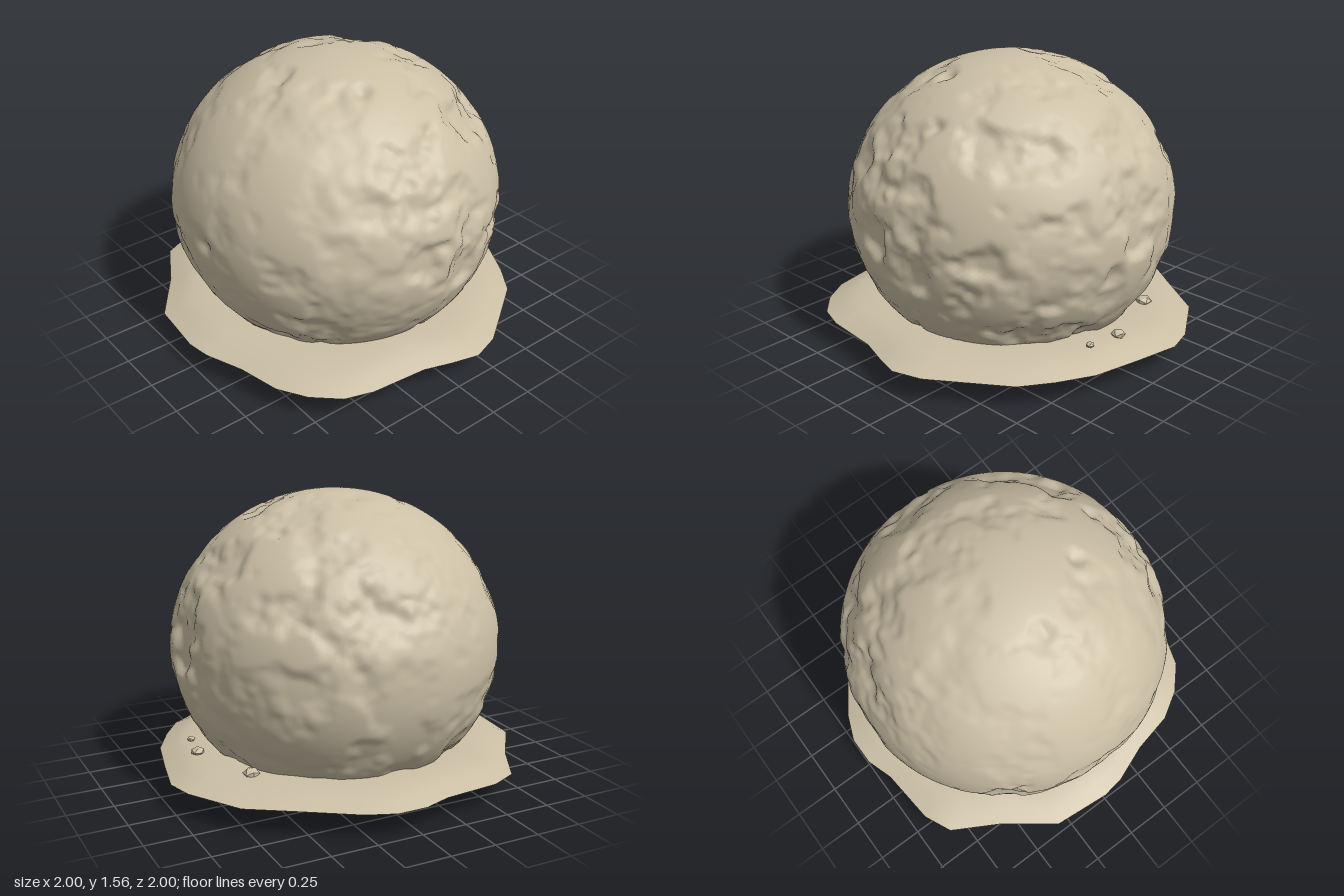
import * as THREE from 'three';
import { mergeVertices } from 'three/addons/utils/BufferGeometryUtils.js';

// Seeded lattice value and smooth 3D noise, 0..1
function hash(x, y, z) {
  let h = Math.imul(x, 374761393) ^ Math.imul(y, 668265263) ^ Math.imul(z, 2147483647 - 7919);
  h = Math.imul(h ^ (h >>> 13), 1274126177);
  h = Math.imul(h ^ (h >>> 15), 2246822519);
  return ((h ^ (h >>> 16)) >>> 0) / 4294967295;
}
function noise(p, scale, seed) {
  const c = [p.x * scale + seed, p.y * scale + seed, p.z * scale + seed];
  const i = c.map(Math.floor);
  const f = c.map((v, k) => { const t = v - i[k]; return t * t * (3 - 2 * t); });
  let sum = 0;
  for (let a = 0; a < 2; a++) for (let b = 0; b < 2; b++) for (let d = 0; d < 2; d++) {
    const w = (a ? f[0] : 1 - f[0]) * (b ? f[1] : 1 - f[1]) * (d ? f[2] : 1 - f[2]);
    sum += w * hash(i[0] + a, i[1] + b, i[2] + d);
  }
  return sum;
}

// Bare indexed geometry, so that normals come out smooth
function welded(geometry) {
  geometry.deleteAttribute('uv');
  geometry.deleteAttribute('normal');
  return mergeVertices(geometry, 1e-4);
}

// Chipped ellipsoid with a flat cut underneath
function boulderGeometry() {
  const g = welded(new THREE.IcosahedronGeometry(1, 48));
  const pos = g.attributes.position;
  const p = new THREE.Vector3();
  const notches = [
    [new THREE.Vector3(-1, 0, 0.05).normalize(), 0.06, 0.03],
    [new THREE.Vector3(0.1, 0.42, -0.9).normalize(), 0.17, 0.025],
  ];
  for (let i = 0; i < pos.count; i++) {
    p.fromBufferAttribute(pos, i).normalize();
    const rough = THREE.MathUtils.smoothstep(noise(p, 1.9, 31), 0.25, 0.7);
    const lumps = 0.55 * noise(p, 5, 11) + 0.3 * noise(p, 10, 53) + 0.15 * noise(p, 20, 97);
    let dent = (0.35 + 0.65 * rough) * THREE.MathUtils.clamp((lumps - 0.44) * 0.17, 0, 0.045);
    for (const [dir, size, depth] of notches) {
      dent += depth * Math.exp(-p.distanceToSquared(dir) / (size * size));
    }
    const r = 1 - dent;
    pos.setXYZ(i, p.x * r * 0.895 - 0.018, Math.max(0, p.y * r * 0.832 + 0.733), p.z * r * 0.895 - 0.015);
  }
  g.computeVertexNormals();
  return g;
}

// Thin ground skirt: the wavy outline is repeated inwards and raised
function skirtGeometry() {
  const outline = [
    [-1, -0.01], [-0.97, -0.33], [-0.77, -0.6], [-0.63, -0.85], [-0.48, -0.92], [-0.17, -0.95],
    [-0.02, -1], [0.14, -1], [0.29, -0.94], [0.53, -0.78], [0.79, -0.61], [0.96, -0.33],
    [1, -0.18], [0.95, 0.07], [0.89, 0.33], [0.79, 0.52], [0.68, 0.68], [0.45, 0.84],
    [0.29, 0.95], [0.13, 1], [-0.02, 0.96], [-0.17, 0.91], [-0.48, 0.88], [-0.63, 0.83],
    [-0.76, 0.71], [-0.85, 0.56], [-0.9, 0.33], [-0.98, 0.12],
  ];
  const rings = [[1, 0.14], [0.92, 0.174], [0.84, 0.2], [0.72, 0.207], [0.56, 0.207]];
  const n = outline.length;
  const vertices = [], index = [];
  rings.forEach(([s, y], r) => {
    outline.forEach(([x, z], k) => {
      vertices.push(x * s, y, z * s);
      if (r === 0) return;
      const a = (r - 1) * n + k, b = (r - 1) * n + (k + 1) % n;
      index.push(a, a + n, b, b, a + n, b + n);
    });
  });
  const g = new THREE.BufferGeometry();
  g.setAttribute('position', new THREE.Float32BufferAttribute(vertices, 3));
  // The outline runs clockwise seen from above, so reverse each triangle to face up
  for (let i = 0; i < index.length; i += 3) [index[i + 1], index[i + 2]] = [index[i + 2], index[i + 1]];
  g.setIndex(index);
  g.computeVertexNormals();
  if (g.attributes.normal.getY(3 * n) < 0) {
    g.setIndex(index.reverse());
    g.computeVertexNormals();
  }
  return g;
}

export function createModel() {
  const stone = new THREE.MeshStandardMaterial({ color: 0xcbbfa5 });
  stone.name = 'sandy stone';
  const ground = new THREE.MeshStandardMaterial({ color: 0xcbbfa5, side: THREE.DoubleSide });
  ground.name = 'sandy ground';
  const pebbleStone = new THREE.MeshStandardMaterial({ color: 0xcbbfa5, flatShading: true });
  pebbleStone.name = 'pebble stone';

  const model = new THREE.Group();
  model.name = 'boulder';
  const add = (name, geometry, material) => {
    const mesh = new THREE.Mesh(geometry, material);
    mesh.name = name;
    model.add(mesh);
    return mesh;
  };

  add('boulderBody', boulderGeometry(), stone);
  add('groundSkirt', skirtGeometry(), ground);

  // Small faceted pebbles half sunk into the skirt
  const pebbles = [[0.64, -0.38, 0.045], [0.78, 0.02, 0.038], [0.75, 0.21, 0.024]];
  pebbles.forEach(([x, z, r], i) => {
    const pebble = add('pebble' + (i + 1), new THREE.IcosahedronGeometry(r, 0), pebbleStone);
    pebble.scale.y = 0.65;
    pebble.rotation.y = i * 1.3;
    pebble.position.set(x, 0.212, z);
  });
  return model;
}
